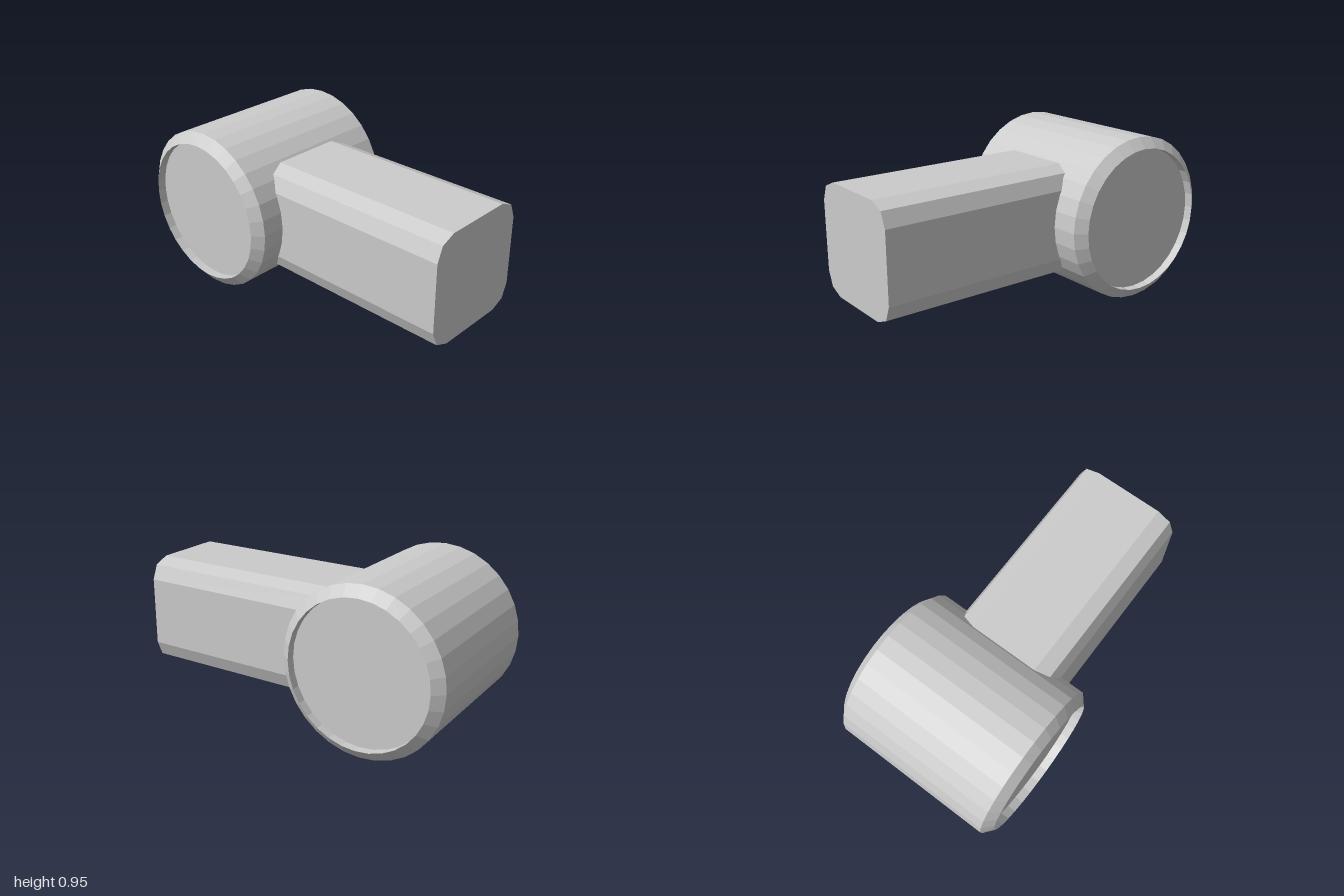
import * as THREE from 'three';

export function createModel() {
  const group = new THREE.Group();
  const material = new THREE.MeshStandardMaterial({ color: 0xcccccc, flatShading: true });
  const add = (name, geometry) => {
    const mesh = new THREE.Mesh(geometry, material);
    mesh.name = name;
    group.add(mesh);
    return mesh;
  };

  // Drum lying along z: chamfered rims around recessed end faces
  const R = 0.472, rim = 0.412, half = 0.521, shoulder = 0.472, recess = 0.47;
  const profile = [
    [0, -recess], [rim, -recess], [rim, -half], [R, -shoulder],
    [R, shoulder], [rim, half], [rim, recess], [0, recess],
  ].map(([r, h]) => new THREE.Vector2(r, h));
  const drumGeometry = new THREE.LatheGeometry(profile, 32);
  drumGeometry.rotateX(Math.PI / 2);
  const drum = add('drum', drumGeometry);
  drum.position.set(-0.528, 0.477, 0);
  drum.rotation.x = 0.0055; // very slight tilt

  // Arm: square bar with two-step bevelled corners, running into the drum
  const halfW = 0.325, halfH = 0.32;
  const corner = [[0, 0.12], [0.035, 0.035], [0.12, 0]]; // insets from the corner
  const outline = [];
  for (const [sx, sy] of [[1, 1], [-1, 1], [-1, -1], [1, -1]]) {
    const steps = sx * sy > 0 ? corner : [...corner].reverse();
    for (const [dx, dy] of steps) {
      outline.push(new THREE.Vector2(sx * (halfW - dx), sy * (halfH - dy)));
    }
  }
  const start = -0.25;
  const armGeometry = new THREE.ExtrudeGeometry(new THREE.Shape(outline), {
    depth: 1 - start, bevelEnabled: false,
  });
  armGeometry.rotateY(Math.PI / 2);
  const arm = add('arm', armGeometry);
  arm.position.set(start, 0.478, 0.014);
  arm.rotation.x = 0.0055;

  return group;
}
